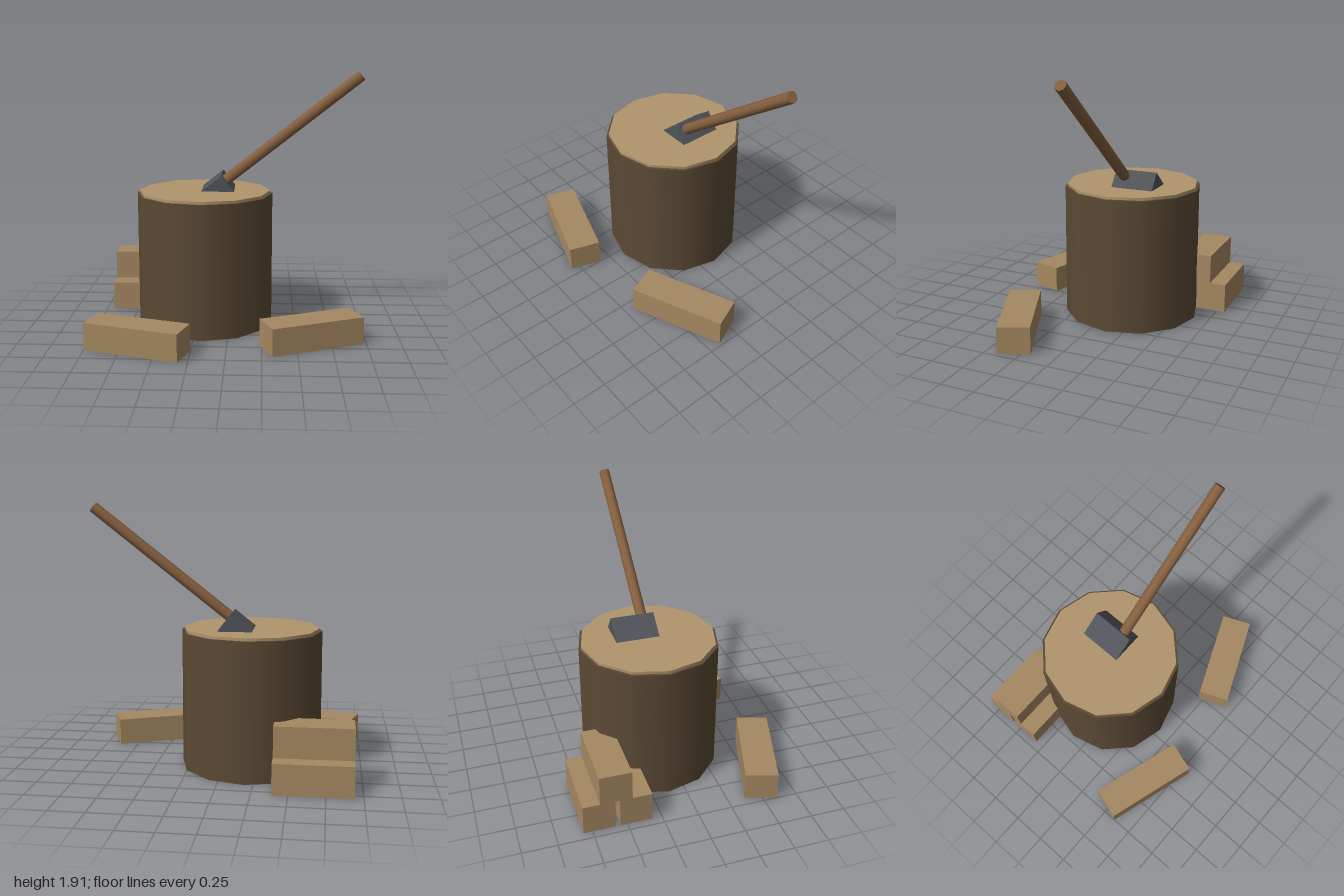
import * as THREE from 'three';

const material = (color) => new THREE.MeshStandardMaterial({ color });

export function createModel() {
  const model = new THREE.Group();
  model.name = 'choppingBlock';

  const bark = material(0x5c4a35);
  const cutWood = material(0xb0956c);
  const splitWood = material(0xa58861);
  const steel = material(0x50545a);
  const handleWood = material(0x85603f);

  const add = (name, geometry, mat, x, y, z) => {
    const mesh = new THREE.Mesh(geometry, mat);
    mesh.name = name;
    mesh.position.set(x, y, z);
    model.add(mesh);
    return mesh;
  };

  // Twelve-sided stump with a slightly smaller cut face on top
  const stumpX = -0.19, stumpZ = -0.12;
  add('stump', new THREE.CylinderGeometry(0.513, 0.513, 1, 12), bark, stumpX, 0.5, stumpZ);
  add('cutFace', new THREE.CylinderGeometry(0.495, 0.495, 0.04, 12), cutWood, stumpX, 1.0, stumpZ);

  // Axe head: tilted block sunk into the cut face, placed by its top corner
  const tilt = 0.665;
  const along = new THREE.Vector3(Math.cos(tilt), Math.sin(tilt), 0);
  const up = new THREE.Vector3(-Math.sin(tilt), Math.cos(tilt), 0);
  const headLength = 0.24, headDepth = 0.2;
  const head = add('axeHead', new THREE.BoxGeometry(headLength, headDepth, 0.32), steel, -0.06, 1.14, -0.2);
  head.position.addScaledVector(along, -headLength / 2).addScaledVector(up, -headDepth / 2);
  head.rotation.z = tilt;

  // Handle: leaves the head square to its face
  const handleLength = 1.3;
  const handle = add('axeHandle', new THREE.CylinderGeometry(0.041, 0.041, handleLength, 8), handleWood, 0.972, 1.882, -0.12);
  handle.position.addScaledVector(along, -handleLength / 2);
  handle.rotation.z = tilt - Math.PI / 2;

  // Split logs: two lying loose, three stacked behind the stump
  const logs = [
    // name, length, height, width, x, base y, z, turn
    ['looseLogRight', 0.71, 0.2, 0.235, -0.625, 0, 0.592, -0.3],
    ['looseLogLeft', 0.71, 0.2, 0.235, 0.605, 0, 0.433, 0.4],
    ['stackedLogBack', 0.55, 0.22, 0.23, -0.665, 0, -0.698, 0],
    ['stackedLogFront', 0.55, 0.22, 0.23, -0.665, 0, -0.436, 0],
    ['stackedLogTop', 0.55, 0.22, 0.23, -0.665, 0.22, -0.576, 0],
  ];
  for (const [name, length, height, width, x, base, z, turn] of logs) {
    const log = add(name, new THREE.BoxGeometry(length, height, width), splitWood, x, base + height / 2, z);
    log.rotation.y = turn;
  }

  return model;
}
